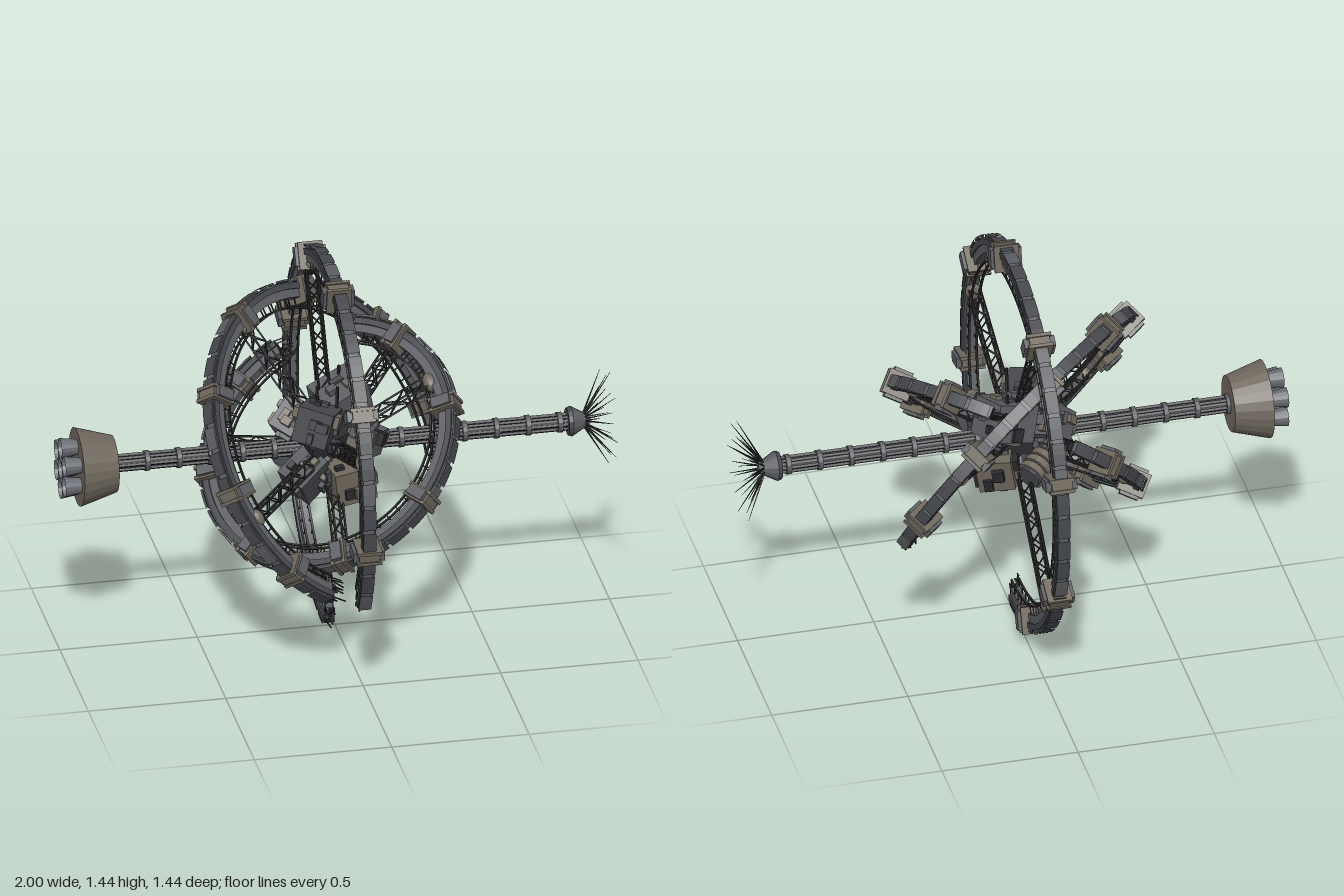
import * as THREE from 'three';

const paint = (color, side = THREE.FrontSide) => new THREE.MeshStandardMaterial({ color, side, flatShading: true });
const STEEL = paint(0x5c5d62), DARK = paint(0x2b2b2e), MID = paint(0x45474c), TAN = paint(0x6e675c);
const TAN_OPEN = paint(0x6e675c, THREE.DoubleSide), PIPE_OPEN = paint(0x666970, THREE.DoubleSide);
const V = (x, y, z) => new THREE.Vector3(x, y, z);
const X_AXIS = V(1, 0, 0), Y_AXIS = V(0, 1, 0);

// Small seeded generator for debris and hull clutter
let seed = 7;
const rnd = (a = 0, b = 1) => {
  seed = (seed * 16807) % 2147483647;
  return a + (b - a) * seed / 2147483647;
};

function add(parent, name, geometry, material, pos = V(0, 0, 0)) {
  const mesh = new THREE.Mesh(geometry, material);
  mesh.name = name;
  mesh.position.copy(pos);
  parent.add(mesh);
  return mesh;
}
const box = (parent, name, size, pos, material) => add(parent, name, new THREE.BoxGeometry(...size), material, pos);

// Thin bar between two points
function rod(parent, name, a, b, r, material = DARK, rEnd = r, sides = 4) {
  const d = b.clone().sub(a);
  const m = add(parent, name, new THREE.CylinderGeometry(rEnd, r, d.length(), sides), material, a.clone().add(b).multiplyScalar(0.5));
  m.quaternion.setFromUnitVectors(Y_AXIS, d.normalize());
  return m;
}

// Curved beam of rectangular section around the local y axis
function arcBeam(parent, name, r0, r1, y0, y1, start, length, material) {
  const p = [[r0, y0], [r1, y0], [r1, y1], [r0, y1], [r0, y0]].map(([x, y]) => new THREE.Vector2(x, y));
  const steps = Math.max(1, Math.round(length / 0.06));
  return add(parent, name, new THREE.LatheGeometry(p, steps, start, length), material);
}

// Group turned so that +z points outward at the given angle round a ring
function station(parent, name, angle) {
  const g = new THREE.Group();
  g.name = name;
  g.rotation.y = angle;
  parent.add(g);
  return g;
}

// Square lattice spoke along local z
function truss(parent, z0, z1) {
  const h = 0.02, n = Math.round((z1 - z0) / 0.045);
  const corners = [[-h, -h], [h, -h], [h, h], [-h, h]];
  corners.forEach(([x, y], k) => {
    rod(parent, 'spokeRail', V(x, y, z0), V(x, y, z1), 0.0045);
    const [x2, y2] = corners[(k + 1) % 4];
    for (let i = 0; i < n; i++) {
      const a = z0 + (z1 - z0) * i / n, b = z0 + (z1 - z0) * (i + 1) / n;
      const flip = (i + k) % 2;
      rod(parent, 'spokeBrace', flip ? V(x, y, a) : V(x2, y2, a), flip ? V(x2, y2, b) : V(x, y, b), 0.003);
    }
  });
}

// Broken habitat ring: outer radius R, axis, direction of one end, arc in degrees
function ring(name, R, axis, first, degrees, collars) {
  const g = new THREE.Group();
  g.name = name;
  const n = axis.clone().normalize();
  const u = first.clone().addScaledVector(n, -first.dot(n)).normalize();
  const v = n.clone().cross(u);
  g.quaternion.setFromRotationMatrix(new THREE.Matrix4().makeBasis(v, n, u));
  const arc = THREE.MathUtils.degToRad(degrees);

  // Main hull, raised side bands and inner rail
  arcBeam(g, 'ringHull', R - 0.07, R - 0.013, -0.018, 0.018, 0, arc, STEEL);
  for (const s of [-1, 1]) {
    arcBeam(g, 'sideBand', R - 0.04, R - 0.018, s * 0.021 - 0.004, s * 0.021 + 0.004, 0, arc, MID);
    arcBeam(g, 'innerRail', R - 0.104, R - 0.098, s * 0.014 - 0.004, s * 0.014 + 0.004, 0, arc, DARK);
  }
  // Armour plates with gaps
  const plates = Math.round(arc * R / 0.095);
  for (let i = 0; i < plates; i++) {
    arcBeam(g, 'armourPlate', R - 0.011, R - 0.003, -0.023, 0.023, arc * (i + 0.06) / plates, arc * 0.86 / plates, i % 5 ? MID : STEEL);
  }
  // Ladder rungs between hull and rail
  const rungs = Math.round(arc * R / 0.055);
  for (let i = 0; i <= rungs; i++) {
    const s = station(g, 'rung', arc * i / rungs);
    for (const y of [-0.014, 0.014]) box(s, 'rungPost', [0.004, 0.004, 0.04], V(0, y, R - 0.085), DARK);
  }
  // Collars
  for (let i = 0; i < collars; i++) {
    const s = station(g, 'collar', arc * (i + 0.5) / collars);
    box(s, 'collarCore', [0.045, 0.075, 0.09], V(0, 0, R - 0.045), TAN);
    for (const t of [-0.021, 0.021]) box(s, 'collarFlange', [0.013, 0.09, 0.1], V(t, 0, R - 0.045), TAN);
    for (const y of [-0.046, 0.046]) box(s, 'collarPod', [0.04, 0.022, 0.07], V(0, y, R - 0.045), STEEL);
  }
  // Spokes with junction pods
  for (const f of [1 / 6, 1 / 2, 5 / 6]) {
    const s = station(g, 'spoke', arc * f);
    truss(s, 0.1, R - 0.08);
    add(s, 'spokePod', new THREE.SphereGeometry(0.028, 12, 8), TAN, V(0, 0, R - 0.075)).scale.set(1.4, 1.1, 1);
    rod(s, 'spokeFoot', V(0, 0, 0.08), V(0, 0, 0.16), 0.035, MID, 0.025, 8);
  }
  // Torn ends with bent rods and scraps
  for (const [angle, out] of [[0, -1], [arc, 1]]) {
    const s = station(g, 'brokenEnd', angle);
    box(s, 'tornFace', [0.004, 0.038, 0.058], V(0, 0, R - 0.042), DARK);
    for (let i = 0; i < 12; i++) {
      const a = V(0, rnd(-0.018, 0.018), R - rnd(0.014, 0.1));
      rod(s, 'tornRod', a, a.clone().add(V(out * rnd(0.02, 0.07), rnd(-0.012, 0.012), rnd(-0.012, 0.012))), 0.003);
    }
    for (let i = 0; i < 4; i++) {
      box(s, 'scrap', [0.02, 0.008, 0.016], V(out * rnd(0.005, 0.035), rnd(-0.018, 0.018), R - rnd(0.02, 0.07)), MID).rotation.set(rnd(0, 3), rnd(0, 3), 0);
    }
  }
  return g;
}

// Central cluster of modules around the spine
function hub() {
  const g = new THREE.Group();
  g.name = 'hub';
  const modules = [
    [[0.17, 0.14, 0.15], V(0.06, 0.13, -0.09), STEEL, 0.25], [[0.15, 0.13, 0.14], V(0.05, -0.08, 0.12), TAN, 0.1],
    [[0.13, 0.13, 0.13], V(-0.06, 0.12, 0.07), MID, -0.3], [[0.14, 0.12, 0.12], V(-0.1, -0.07, 0.08), MID, 0.4],
    [[0.13, 0.13, 0.13], V(0.09, -0.07, -0.08), TAN, -0.2], [[0.12, 0.12, 0.1], V(-0.12, 0.07, -0.07), STEEL, 0.5],
    [[0.2, 0.16, 0.16], V(0, 0, 0), DARK, 0.2], [[0.1, 0.1, 0.11], V(0.12, 0.05, 0.08), STEEL, -0.4]];
  modules.forEach(([size, pos, mat, turn]) => {
    const m = new THREE.Group();
    m.name = 'module';
    m.position.copy(pos);
    m.rotation.set(turn * 0.8, turn * 1.5, turn);
    g.add(m);
    box(m, 'moduleBody', size, V(0, 0, 0), mat);
    // Raised panels on all six faces
    for (const axis of ['x', 'y', 'z']) for (const s of [-1, 1]) for (let i = 0; i < 3; i++) {
      const p = V(rnd(-0.3, 0.3) * size[0], rnd(-0.3, 0.3) * size[1], rnd(-0.3, 0.3) * size[2]);
      p[axis] = s * size['xyz'.indexOf(axis)] / 2;
      box(m, 'panel', [rnd(0.02, 0.05), rnd(0.02, 0.05), rnd(0.02, 0.05)], p, [STEEL, MID, DARK, TAN][Math.floor(rnd(0, 4))]);
    }
  });
  // Ribbed tank slung below and behind
  const tank = new THREE.Group();
  tank.name = 'ribbedTank';
  tank.position.set(-0.09, -0.06, -0.09);
  tank.rotation.set(0.3, 0.6, 1.1);
  g.add(tank);
  for (let i = 0; i < 6; i++) add(tank, 'tankRib', new THREE.CylinderGeometry(0.055, 0.055, 0.026, 16), TAN, V(0, (i - 2.5) * 0.034, 0));
  rod(tank, 'tankCore', V(0, -0.11, 0), V(0, 0.11, 0), 0.045, MID, 0.045, 12);
  // Lower drum and antenna masts
  rod(g, 'drum', V(-0.06, -0.12, 0), V(0.1, -0.12, 0), 0.045, STEEL, 0.045, 16);
  for (const [x, z] of [[0.02, 0.03], [-0.05, 0.01], [0.06, -0.14]]) rod(g, 'mast', V(x, 0.1, z), V(x, 0.25, z + 0.02), 0.006);
  return g;
}

export function createModel() {
  const root = new THREE.Group();
  root.name = 'station';
  const core = new THREE.Group();
  core.name = 'ringAssembly';
  core.position.set(-0.02, 0.722, 0);
  root.add(core);
  core.add(
    ring('outerRing', 0.722, V(-1, 0, 0), V(0, -0.5, 0.866), 300, 7),
    ring('middleRing', 0.612, V(0.59, 0.54, 0.6), V(0.47, -0.2, -0.25), 257, 7),
    ring('innerRing', 0.502, V(0.5, -0.73, -0.465), V(0.17, 0.31, -0.32), 322, 7),
    hub());

  // Spine along x: core, longerons and collars
  const spine = new THREE.Group();
  spine.name = 'spine';
  spine.position.set(0, 0.725, 0);
  root.add(spine);
  rod(spine, 'spineCore', V(-0.81, 0, 0), V(0.87, 0, 0), 0.022, MID, 0.022, 12);
  for (let i = 0; i < 6; i++) {
    const a = (i + 0.5) * Math.PI / 3, y = 0.026 * Math.cos(a), z = 0.026 * Math.sin(a);
    rod(spine, 'longeron', V(-0.81, y, z), V(0.87, y, z), 0.007);
  }
  for (let i = 0; i < 15; i++) {
    const x = -0.8 + i * 0.1155;
    rod(spine, 'spineCollar', V(x - 0.009, 0, 0), V(x + 0.009, 0, 0), 0.037, STEEL, 0.037, 16);
  }

  // Engine block with a cluster of seven open nozzles
  const engine = new THREE.Group();
  engine.name = 'engine';
  spine.add(engine);
  rod(engine, 'engineHousing', V(-0.938, 0, 0), V(-0.803, 0, 0), 0.143, TAN, 0.103, 24);
  for (let i = 0; i < 7; i++) {
    const a = i * Math.PI / 3, r = i < 6 ? 0.08 : 0;
    const bell = add(engine, 'nozzle', new THREE.CylinderGeometry(0.037, 0.028, 0.064, 16, 1, true), PIPE_OPEN, V(-0.968, r * Math.cos(a), r * Math.sin(a)));
    bell.rotation.z = Math.PI / 2;
  }

  // Antenna head with a burst of needles
  const head = new THREE.Group();
  head.name = 'antennaHead';
  spine.add(head);
  rod(head, 'antennaCone', V(0.845, 0, 0), V(0.86, 0, 0), 0.05, MID, 0.055, 16);
  rod(head, 'antennaNose', V(0.86, 0, 0), V(0.925, 0, 0), 0.055, STEEL, 0.018, 16);
  for (let i = 0; i < 22; i++) {
    const a = i * 2.4, spread = 0.02 + 0.175 * Math.sqrt(i / 21);
    const tip = V(1 - rnd(0, 0.015), spread * Math.cos(a), spread * Math.sin(a));
    rod(head, 'needle', V(0.9, 0.012 * Math.cos(a), 0.012 * Math.sin(a)), tip, 0.004, DARK, 0.0008);
  }
  return root;
}
